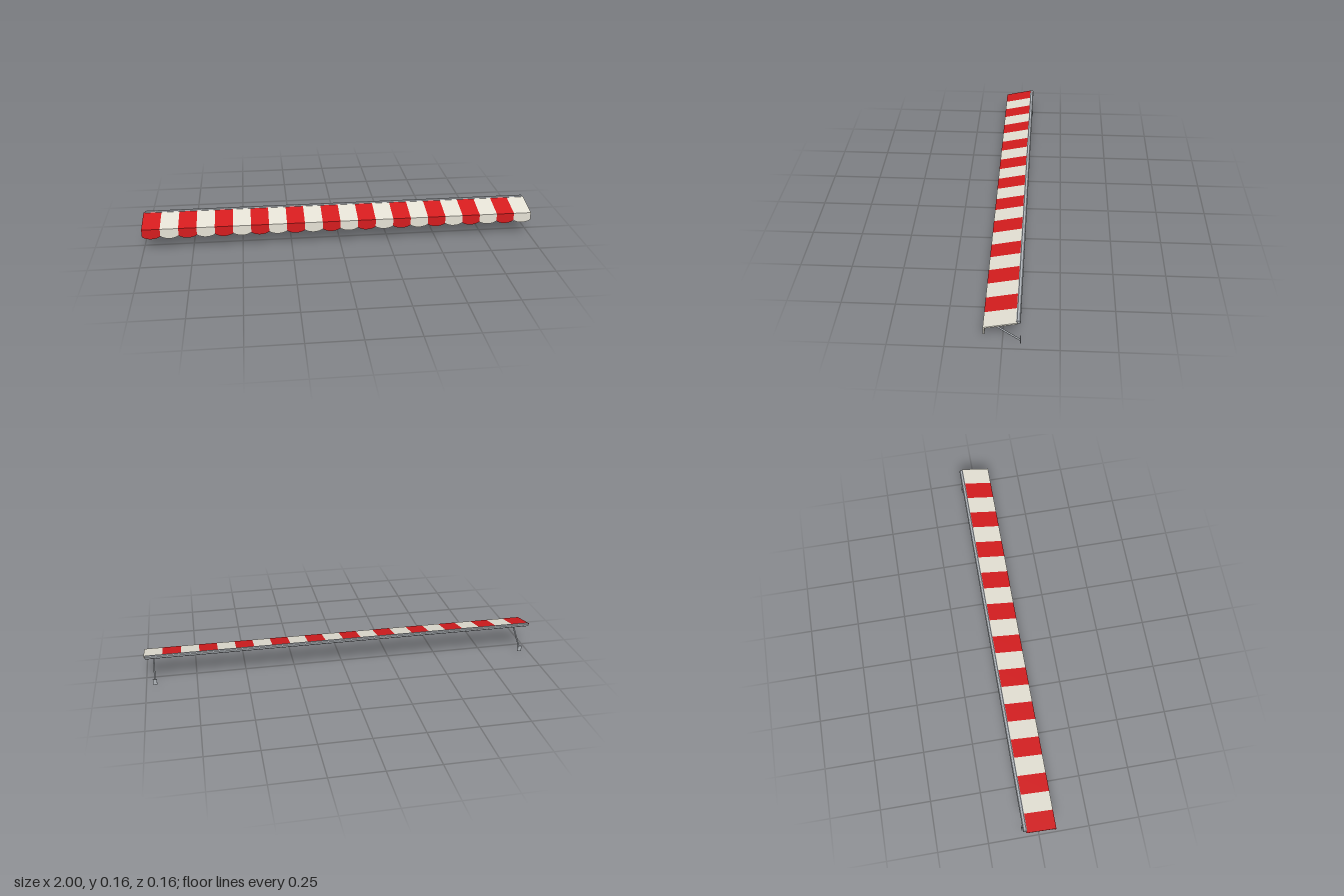
import * as THREE from 'three';

const material = (name, color) => {
  const m = new THREE.MeshStandardMaterial({ color });
  m.name = name;
  return m;
};

// Sweeps a side profile of (z, y) points along x, centred on x = 0
function sweep(points, length, bevel = 0) {
  const shape = new THREE.Shape(points.map(([z, y]) => new THREE.Vector2(z, y)));
  const depth = length - 2 * bevel;
  const geometry = new THREE.ExtrudeGeometry(shape, {
    depth, bevelEnabled: bevel > 0, bevelSegments: 1,
    bevelThickness: bevel, bevelSize: bevel, bevelOffset: -bevel,
  });
  return geometry.rotateY(-Math.PI / 2).translate(depth / 2, 0, 0);
}

export function createModel() {
  const awning = new THREE.Group();
  awning.name = 'awning';
  const red = material('red canvas', 0xd61c1e);
  const cream = material('cream canvas', 0xe6e3d6);
  const steel = material('light grey metal', 0xb0b5ba);

  const add = (name, geometry, mat, parent = awning) => {
    const mesh = new THREE.Mesh(geometry, mat);
    mesh.name = name;
    parent.add(mesh);
    return mesh;
  };

  const count = 22;
  const width = 2 / count;

  // Sloping canvas strip with a mitred front edge
  const slopeGeometry = sweep([
    [0.08, 0.123], [-0.066, 0.155], [-0.066, 0.148], [0.073, 0.1175], [0.08, 0.1175],
  ], width);

  // Hanging flap with a scalloped lower edge
  const flap = new THREE.Shape();
  flap.moveTo(-width / 2, 0.1175);
  flap.lineTo(-width / 2, 0.084);
  flap.bezierCurveTo(-width / 4, 0.0655, width / 4, 0.0655, width / 2, 0.084);
  flap.lineTo(width / 2, 0.1175);
  const flapGeometry = new THREE.ExtrudeGeometry(flap, {
    depth: 0.006, bevelEnabled: false, curveSegments: 12,
  });
  flapGeometry.translate(0, 0, 0.074);

  // Alternating stripes, red first on the model's right
  for (let i = 0; i < count; i++) {
    const x = -1 + (i + 0.5) * width;
    const mat = i % 2 ? cream : red;
    add('canopyStripe', slopeGeometry, mat).position.x = x;
    add('valanceScallop', flapGeometry, mat).position.x = x;
  }

  // Wall rail along the back, with chamfered edges and ends
  const h = 0.008, d = 0.0095, c = 0.004;
  add('wallRail', sweep([
    [d, c - h], [d, h - c], [d - c, h], [c - d, h],
    [-d, h - c], [-d, c - h], [c - d, -h], [d - c, -h],
  ], 1.986, 0.002), steel).position.set(0, 0.1515, -0.0705);

  // Diagonal support arms with wall plates
  const top = new THREE.Vector3(0, 0.11, 0.05);
  const foot = new THREE.Vector3(0, 0.013, -0.077);
  const along = top.clone().sub(foot);
  for (const side of [-1, 1]) {
    const support = new THREE.Group();
    support.name = side > 0 ? 'leftSupport' : 'rightSupport';
    support.position.x = side * 0.957;
    awning.add(support);
    const arm = add('arm', new THREE.CylinderGeometry(0.004, 0.004, along.length(), 10), steel, support);
    arm.position.copy(top).add(foot).multiplyScalar(0.5);
    arm.quaternion.setFromUnitVectors(new THREE.Vector3(0, 1, 0), along.clone().normalize());
    add('wallPlate', new THREE.BoxGeometry(0.02, 0.03, 0.004), steel, support)
      .position.set(0, 0.015, -0.078);
  }
  return awning;
}
